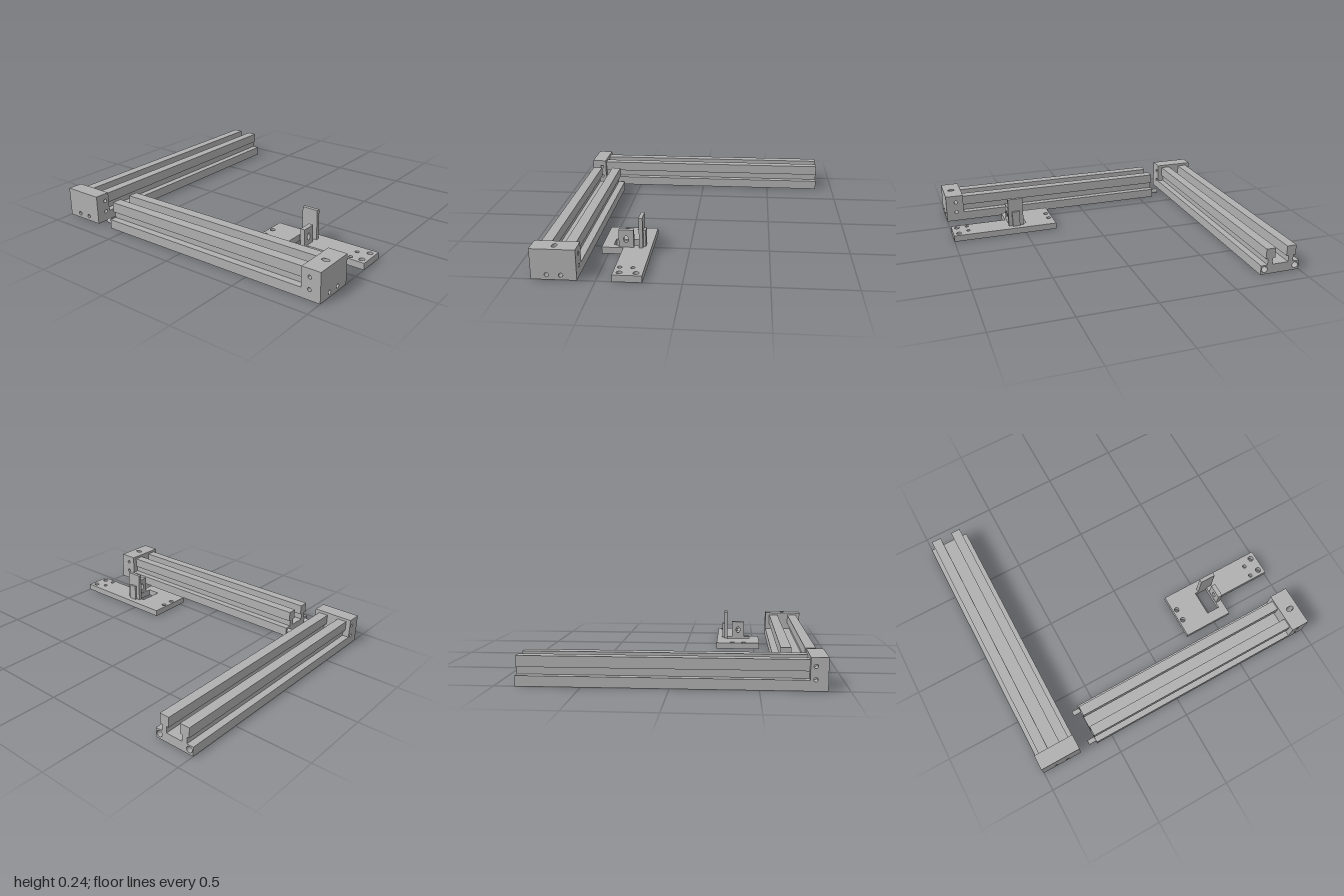
import * as THREE from 'three';

const metal = new THREE.MeshStandardMaterial({ color: 0xb0b0b0, side: THREE.DoubleSide });
metal.name = 'plain grey metal';

function add(parent, name, geometry, x = 0, y = 0, z = 0) {
  const mesh = new THREE.Mesh(geometry, metal);
  mesh.name = name;
  mesh.position.set(x, y, z);
  parent.add(mesh);
  return mesh;
}

// Polygon with elliptical holes given as [x, y, rx, ry]
function outline(points, holes = []) {
  const shape = new THREE.Shape(points.map(([x, y]) => new THREE.Vector2(x, y)));
  for (const [x, y, rx, ry = rx] of holes) {
    shape.holes.push(new THREE.Path().absellipse(x, y, rx, ry, 0, Math.PI * 2, true));
  }
  return shape;
}

const rect = (x0, y0, x1, y1) => [[x0, y0], [x1, y0], [x1, y1], [x0, y1]];
const extrude = (shape, depth) =>
  new THREE.ExtrudeGeometry(shape, { depth, bevelEnabled: false, curveSegments: 16 });

function box(parent, name, x0, x1, y0, y1, z0, z1) {
  return add(parent, name, new THREE.BoxGeometry(x1 - x0, y1 - y0, z1 - z0),
    (x0 + x1) / 2, (y0 + y1) / 2, (z0 + z1) / 2);
}

// Flat block side facing +z, with bored holes running inwards
function boredFace(name, w, h, holes = [], depth = 0.06, blind = true) {
  const face = new THREE.Group();
  face.name = name;
  add(face, name + 'Panel',
    new THREE.ShapeGeometry(outline(rect(-w / 2, -h / 2, w / 2, h / 2), holes), 16));
  for (const [x, y, rx, ry = rx] of holes) {
    const wall = new THREE.CylinderGeometry(1, 1, depth, 24, 1, true);
    wall.rotateX(Math.PI / 2).scale(rx, ry, 1);
    add(face, 'boreWall', wall, x, y, -depth / 2);
    if (blind) add(face, 'boreEnd', new THREE.CircleGeometry(rx, 24), x, y, -depth);
  }
  return face;
}

// End block centred on x, from z = 0 to z = d
function endBlock(d, hasSlot) {
  const w = 0.27, h = 0.19;
  const block = new THREE.Group();
  block.name = 'endBlock';
  const place = (face, x, y, z, rx, ry) => {
    face.position.set(x, y, z);
    face.rotation.set(rx, ry, 0);
    block.add(face);
  };
  const slot = hasSlot ? [[0, -0.005, 0.016, 0.025]] : [];
  place(boredFace('outerFace', w, h, [[-0.042, 0.03 - h / 2, 0.013], [0.042, 0.03 - h / 2, 0.013]]), 0, h / 2, d, 0, 0);
  place(boredFace('innerFace', w, h), 0, h / 2, 0, 0, Math.PI);
  for (const s of [-1, 1]) {
    const across = -s * (d - 0.07 - d / 2);
    const holes = [0.065, 0.14].map((y) => [across, y - h / 2, 0.012]);
    place(boredFace('sideFace', d, h, holes), s * w / 2, h / 2, d / 2, 0, s * Math.PI / 2);
  }
  place(boredFace('topFace', w, d, slot, h, false), 0, h, d / 2, -Math.PI / 2, 0);
  const under = slot.map(([x, y, rx, ry]) => [x, -y, rx, ry]);
  place(boredFace('bottomFace', w, d, under, h, false), 0, 0, d / 2, Math.PI / 2, 0);
  return block;
}

// Rail along +z: wide base carrying two T-shaped ridges, closed by an end block
function railUnit(name, length, blockDepth, hasPins) {
  const unit = new THREE.Group();
  unit.name = name;
  const right = [[0.135, 0], [0.135, 0.062], [0.09, 0.062], [0.09, 0.106],
    [0.105, 0.106], [0.105, 0.172], [0.04, 0.172], [0.04, 0.106], [0.056, 0.106], [0.056, 0.062]];
  const left = right.map(([x, y]) => [-x, y]).reverse();
  const bores = hasPins ? [] : [[-0.108, 0.033, 0.02], [0.108, 0.033, 0.02]];
  add(unit, 'slottedRail', extrude(outline([...right, ...left], bores), length));
  const block = endBlock(blockDepth, hasPins);
  block.position.z = length;
  unit.add(block);
  if (hasPins) {
    for (const s of [-1, 1]) {
      const pin = new THREE.CylinderGeometry(0.016, 0.016, 0.05, 24).rotateX(Math.PI / 2);
      add(unit, 'locatingPin', pin, s * 0.107, 0.034, -0.025);
    }
  }
  return unit;
}

function bracket() {
  const group = new THREE.Group();
  group.name = 'mountingBracket';
  // L-shaped base plate with window and screw holes, drawn in x and -z
  const edge = [[-0.54, -0.28], [-0.54, -0.615], [-0.405, -0.615], [-0.405, -1], [-0.23, -1], [-0.23, -0.28]];
  const plate = outline(edge, [
    [-0.427, -0.307, 0.016], [-0.345, -0.307, 0.016],
    [-0.377, -0.893, 0.013], [-0.299, -0.893, 0.013],
    [-0.368, -0.963, 0.018], [-0.27, -0.963, 0.018],
  ]);
  plate.holes.push(new THREE.Path(
    rect(-0.47, -0.573, -0.305, -0.483).map(([x, y]) => new THREE.Vector2(x, y))));
  add(group, 'basePlate', extrude(plate, 0.043).rotateX(-Math.PI / 2));
  // Short upright with an oval hole
  const lug = outline(rect(-0.433, 0.043, -0.34, 0.157), [[-0.387, 0.096, 0.015, 0.023]]);
  add(group, 'slottedUpright', extrude(lug, 0.03), 0, 0, 0.575);
  // Tall upright with its side rib
  box(group, 'tallUpright', -0.306, -0.282, 0.043, 0.24, 0.505, 0.61);
  box(group, 'uprightRib', -0.282, -0.267, 0.043, 0.15, 0.532, 0.584);
  return group;
}

export function createModel() {
  const model = new THREE.Group();
  model.name = 'slideRailKit';

  const sideRail = railUnit('sideRail', 1.487, 0.123, true);
  sideRail.position.set(-0.742, 0, -0.61);

  const rearRail = railUnit('rearRail', 1.654, 0.1, false);
  rearRail.rotation.y = -Math.PI / 2;
  rearRail.position.set(0.877, 0, -0.865);

  model.add(sideRail, rearRail, bracket());
  return model;
}
